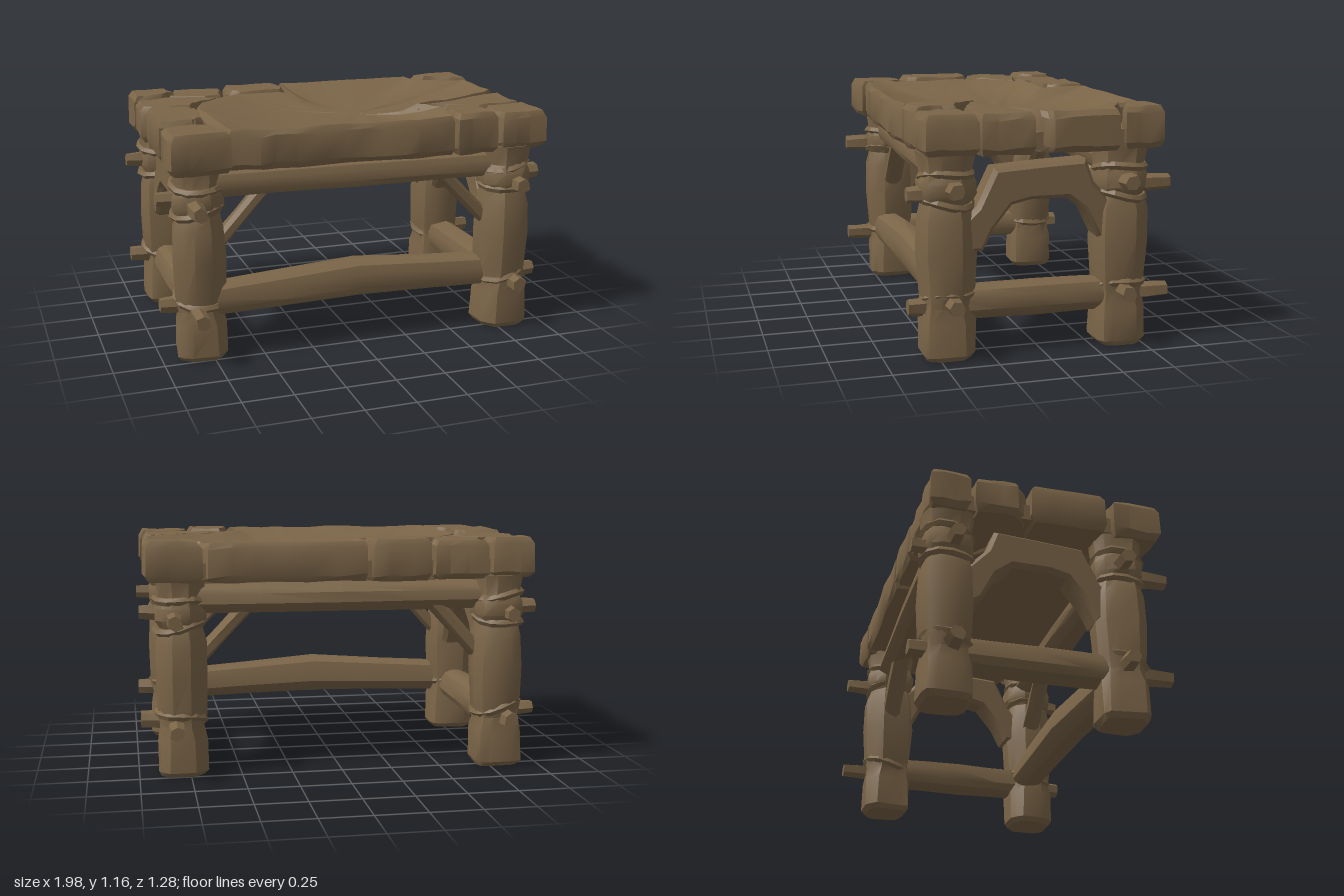
import * as THREE from 'three';
import { toCreasedNormals } from 'three/addons/utils/BufferGeometryUtils.js';

const timber = new THREE.MeshStandardMaterial({ color: 0x7b6548 });
timber.name = 'weathered brown';

let seed = 7;
const rnd = (a) => {
  seed = (seed * 16807) % 2147483647;
  return (seed / 2147483647 - 0.5) * 2 * a;
};

// Skin over rings of equal count, closed at both ends
function loft(rings) {
  const n = rings[0].length, pos = [], idx = [];
  rings.forEach((r) => r.forEach((p) => pos.push(...p)));
  for (let r = 0; r < rings.length - 1; r++) {
    for (let i = 0; i < n; i++) {
      const a = r * n + i, b = r * n + (i + 1) % n, c = a + n, d = b + n;
      idx.push(a, c, b, b, c, d);
    }
  }
  const last = rings.length - 1;
  [rings[0], rings[last]].forEach((ring, k) => {
    const centre = pos.length / 3, base = k ? last * n : 0;
    pos.push(...[0, 1, 2].map((j) => ring.reduce((s, p) => s + p[j], 0) / n));
    for (let i = 0; i < n; i++) {
      const a = base + i, b = base + (i + 1) % n;
      k ? idx.push(centre, b, a) : idx.push(centre, a, b);
    }
  });
  const g = new THREE.BufferGeometry();
  g.setAttribute('position', new THREE.Float32BufferAttribute(pos, 3));
  g.setIndex(idx);
  return toCreasedNormals(g, 0.55);
}

// Hewn post along y; rows are [y, half width x, half width z, corner power]
function hewn(rows, jitter = 0.008, n = 12) {
  const bumps = Array.from({ length: n }, () => rnd(jitter));
  return loft(rows.map(([y, rx, rz, p = 0.8]) => bumps.map((bump, i) => {
    const a = (i + 0.5) / n * Math.PI * 2, c = Math.cos(a), s = Math.sin(a);
    const k = bump + rnd(jitter * 0.5);
    return [Math.sign(c) * Math.abs(c) ** p * (rx + k), y, Math.sign(s) * Math.abs(s) ** p * (rz + k)];
  })));
}

// Stone block from a plan outline; dish gives inner rings as [scale, y]
function stone(outline, y0, y1, dish = []) {
  const area = outline.reduce((s, p, i) => {
    const q = outline[(i + 1) % outline.length];
    return s + p[0] * q[1] - p[1] * q[0];
  }, 0);
  const pts = area > 0 ? outline : [...outline].reverse();
  const fine = [];
  pts.forEach((p, i) => {
    const q = pts[(i + 1) % pts.length];
    [0, 0.35, 0.7].forEach((t) => {
      const j = t ? 0.008 : 0;
      fine.push([p[0] + (q[0] - p[0]) * t + rnd(j), p[1] + (q[1] - p[1]) * t + rnd(j)]);
    });
  });
  const cx = fine.reduce((s, p) => s + p[0], 0) / fine.length;
  const cz = fine.reduce((s, p) => s + p[1], 0) / fine.length;
  const size = fine.reduce((s, p) => s + Math.hypot(p[0] - cx, p[1] - cz), 0) / fine.length;
  const ring = (k, y, j) => fine.map(([x, z]) => [cx + (x - cx) * k, y + rnd(j), cz + (z - cz) * k]);
  return loft([
    ring(1 - 0.02 / size, y0, 0.004), ring(1, y0 + 0.03, 0.008),
    ring(1 - 0.003 / size, y1 - 0.03, 0.008), ring(1 - 0.022 / size, y1, 0.004),
    ...dish.map(([k, y]) => ring(k, y, 0.004)),
  ]);
}

export function createModel() {
  const model = new THREE.Group();
  const add = (name, geometry, x = 0, y = 0, z = 0) => {
    const m = new THREE.Mesh(geometry, timber);
    m.name = name;
    m.position.set(x, y, z);
    model.add(m);
    return m;
  };
  const UP = new THREE.Vector3(0, 1, 0);
  // Round beam between two points; bulge lifts and fattens the middle
  const beam = (name, a, b, rx, rz, bulge = 0, n = 12) => {
    const p = new THREE.Vector3(...a), d = new THREE.Vector3(...b).sub(p), l = d.length();
    const rows = [0, 0.25, 0.5, 0.75, 1].map((t) => {
      const f = bulge * (1 - Math.abs(t - 0.5) * 2);
      return [t * l, rx + f, rz + f];
    });
    const m = add(name, hewn(rows, 0.005, n), ...a);
    m.quaternion.setFromUnitVectors(UP, d.normalize());
    return m;
  };

  // Dished main slab of the top
  add('tableSlab', stone([
    [-0.42, -0.33], [-0.13, -0.32], [-0.11, -0.57], [0.3, -0.565], [0.66, -0.56], [0.7, -0.44], [0.84, -0.37],
    [0.95, -0.34], [0.955, -0.02], [0.88, 0.04], [0.72, 0.13], [0.42, 0.22], [0.5, 0.34], [0.46, 0.58],
    [0.2, 0.6], [-0.1, 0.585], [-0.45, 0.57], [-0.68, 0.55], [-0.69, 0.3], [-0.71, 0], [-0.66, -0.17], [-0.55, -0.28],
  ], 0.955, 1.145, [[0.9, 1.135], [0.75, 1.105], [0.5, 1.08], [0.2, 1.07]]));
  // Hidden core behind the cracks
  add('slabCore', new THREE.BoxGeometry(1.82, 0.08, 1.08), 0, 1.01, 0);

  // Cracked edge blocks
  const blocks = [
    [[-0.95, -0.58], [-0.74, -0.575], [-0.71, -0.46], [-0.8, -0.39], [-0.95, -0.38]],
    [[-0.72, -0.57], [-0.45, -0.565], [-0.44, -0.5], [-0.48, -0.33], [-0.58, -0.3], [-0.78, -0.38], [-0.7, -0.46]],
    [[-0.43, -0.57], [-0.14, -0.57], [-0.12, -0.4], [-0.15, -0.33], [-0.4, -0.33], [-0.44, -0.42]],
    [[-0.95, -0.36], [-0.8, -0.375], [-0.5, -0.29], [-0.65, -0.19], [-0.7, -0.1], [-0.86, -0.08], [-0.96, -0.15]],
    [[-0.94, -0.08], [-0.74, -0.07], [-0.7, 0], [-0.72, 0.25], [-0.78, 0.3], [-0.95, 0.3]],
    [[-0.95, 0.34], [-0.75, 0.32], [-0.69, 0.4], [-0.66, 0.57], [-0.95, 0.585]],
    [[0.68, -0.56], [0.95, -0.56], [0.965, -0.36], [0.86, -0.38], [0.71, -0.45]],
    [[0.4, 0.24], [0.72, 0.14], [0.88, 0.06], [0.955, 0.07], [0.95, 0.32], [0.7, 0.35], [0.55, 0.29]],
    [[0.52, 0.31], [0.69, 0.36], [0.67, 0.45], [0.7, 0.57], [0.48, 0.585], [0.47, 0.45]],
    [[0.72, 0.36], [0.96, 0.33], [0.965, 0.58], [0.72, 0.585], [0.69, 0.46]],
  ];
  blocks.forEach((b, i) => add('edgeBlock' + (i + 1), stone(b, 0.96 - (i % 3) * 0.006, 1.155 - (i % 2) * 0.01)));

  // Legs with collars and pegs
  const legs = [[0.79, 0.45], [0.79, -0.4], [-0.8, 0.4], [-0.8, -0.46]];
  for (const [x, z] of legs) {
    const sx = Math.sign(x), sz = Math.sign(z);
    add('leg', hewn([
      [0, 0.105, 0.1, 0.5], [0.025, 0.122, 0.12, 0.5], [0.18, 0.12, 0.12, 0.55], [0.25, 0.108, 0.112, 0.7],
      [0.3, 0.122, 0.122], [0.5, 0.128, 0.135], [0.66, 0.122, 0.13], [0.73, 0.105, 0.112],
      [0.77, 0.125, 0.13], [0.83, 0.125, 0.13], [0.87, 0.108, 0.115], [0.97, 0.122, 0.13],
    ]), x, 0, z);
    for (const [y, tilt] of [[0.29, 0.2], [0.74, -0.14], [0.86, 0.1]]) {
      const ring = new THREE.TorusGeometry(0.118, 0.02, 5, 12).rotateX(Math.PI / 2);
      const p = ring.attributes.position;
      for (let i = 0; i < p.count; i++) p.setY(i, p.getY(i) + Math.sin(i % 13 / 12 * Math.PI * 4) * 0.012);
      const c = add('legCollar', toCreasedNormals(ring, 0.5), x, y, z);
      c.rotation.set(tilt * 0.6, 0, tilt * sx);
    }
    for (const y of [0.27, 0.8]) {
      beam('sidePeg', [x, y, z - 0.01 * sz], [x + sx * 0.195, y + 0.005, z - 0.01 * sz], 0.036, 0.036, 0.006, 6);
      beam('facePeg', [x + sx * 0.03, y - 0.02, z], [x + sx * 0.03, y - 0.02, sz * 0.64], 0.036, 0.036, 0.006, 6);
    }
  }

  // Upper long rails with corner braces
  for (const s of [1, -1]) {
    const zl = s > 0 ? 0.4 : -0.45, zr = s > 0 ? 0.44 : -0.4;
    beam('upperRail', [-0.8, 0.87, zl], [0.79, 0.868, zr], 0.068, 0.075, 0.004);
    beam('railBrace', [-0.44, 0.86, zl], [-0.74, 0.53, zl], 0.038, 0.05, 0, 8);
    beam('railBrace', [0.42, 0.86, zr], [0.74, 0.53, zr], 0.038, 0.05, 0, 8);
  }

  // Lower rails: front in two arched halves, one at each end
  add('lowerFrontRail', hewn([
    [-0.8, 0.078, 0.08], [-0.4, 0.085, 0.085], [0, 0.095, 0.09], [0.4, 0.085, 0.085], [0.8, 0.078, 0.08],
  ], 0.005).rotateZ(-Math.PI / 2), 0, 0.285, 0.42);
  const rail = model.getObjectByName('lowerFrontRail').geometry.attributes.position;
  for (let i = 0; i < rail.count; i++) rail.setY(i, rail.getY(i) + 0.04 * (1 - Math.abs(rail.getX(i)) / 0.8));
  beam('lowerSideRail', [0.79, 0.255, 0.44], [0.79, 0.25, -0.4], 0.078, 0.078, 0.004);
  beam('lowerSideRail', [-0.8, 0.265, 0.4], [-0.8, 0.26, -0.45], 0.078, 0.078, 0.004);

  // Arched side braces below the ends of the top
  const arch = new THREE.Shape([
    [0.42, 0.5], [0.42, 0.62], [0.32, 0.71], [0.235, 0.885], [0, 0.9], [-0.21, 0.91], [-0.25, 0.8],
    [-0.4, 0.64], [-0.4, 0.46], [-0.27, 0.53], [-0.2, 0.67], [-0.12, 0.73], [0.06, 0.73], [0.15, 0.71], [0.24, 0.6], [0.29, 0.5],
  ].map(([z, y]) => new THREE.Vector2(-z, y)));
  for (const s of [1, -1]) {
    const g = new THREE.ExtrudeGeometry(arch, {
      depth: 0.1, bevelEnabled: true, bevelThickness: 0.025, bevelSize: 0.02, bevelOffset: -0.02, bevelSegments: 1,
    }).translate(0, 0, -0.05).rotateY(Math.PI / 2);
    add('sideArch', toCreasedNormals(g, 0.6), s * 0.795, 0, s > 0 ? 0 : -0.03);
  }
  return model;
}
